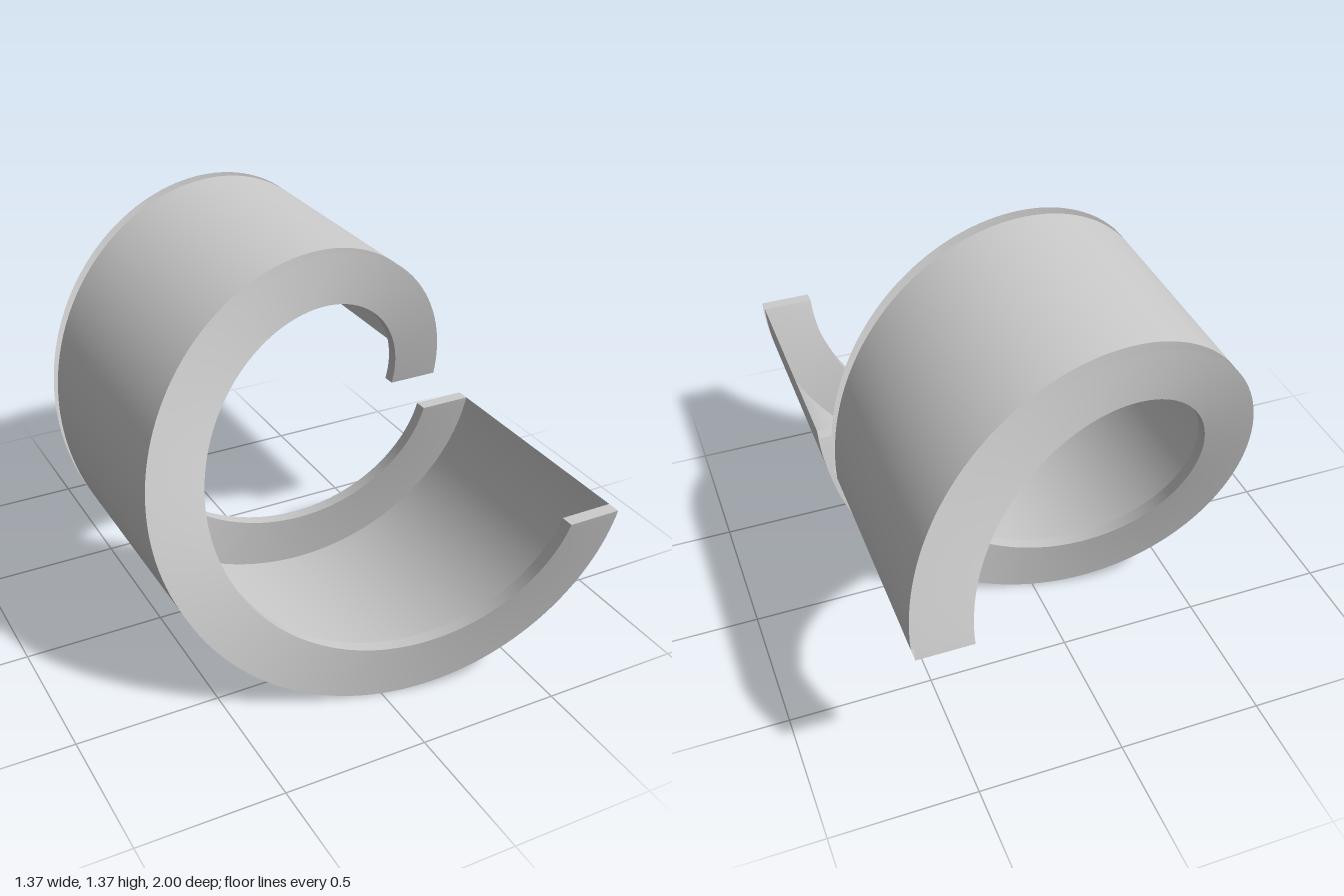
import * as THREE from 'three';
import { mergeGeometries } from 'three/addons/utils/BufferGeometryUtils.js';

const R_OUT = 0.683, R_IN = 0.5;   // outer and inner radius
const PITCH = 1.09;                // travel along z in the single turn
const WIDTH = 0.91, LIP = 0.045;   // channel width and flange thickness
const STEPS = 144;

// Point of the helix: starts at +x, runs down and around towards -z
function helix(r, z, t) {
  const a = t * Math.PI * 2;
  return [r * Math.cos(a), -r * Math.sin(a), z - PITCH * t];
}

// Sweep one straight edge of the section, [r, z] to [r, z], through the turn
function ribbon(from, to) {
  const pos = [], index = [];
  for (let i = 0; i <= STEPS; i++) {
    pos.push(...helix(...from, i / STEPS), ...helix(...to, i / STEPS));
    if (i < STEPS) {
      const a = i * 2;
      index.push(a, a + 1, a + 2, a + 1, a + 3, a + 2);
    }
  }
  const geo = new THREE.BufferGeometry();
  geo.setAttribute('position', new THREE.Float32BufferAttribute(pos, 3));
  geo.setIndex(index);
  geo.computeVertexNormals();
  return geo;
}

// Flat cap closing a flange at the start (facing up) or the end (facing down)
function cap(z, side) {
  const geo = new THREE.PlaneGeometry(R_OUT - R_IN, LIP);
  geo.rotateX(-side * Math.PI / 2);
  geo.translate((R_OUT + R_IN) / 2, 0, z);
  geo.deleteAttribute('uv');
  return geo;
}

// Helical flange: two side faces and the inner rim, open along the outer rim
function flange(zBack) {
  const zFront = zBack + LIP, zMid = zBack + LIP / 2;
  return mergeGeometries([
    ribbon([R_IN, zBack], [R_OUT, zBack]),
    ribbon([R_OUT, zFront], [R_IN, zFront]),
    ribbon([R_IN, zFront], [R_IN, zBack]),
    cap(zMid, 1),
    cap(zMid - PITCH, -1),
  ]);
}

export function createModel() {
  const group = new THREE.Group();
  group.name = 'helicalChannel';
  const material = new THREE.MeshStandardMaterial({ color: 0xcccccc, side: THREE.DoubleSide });
  const add = (name, geo) => {
    const mesh = new THREE.Mesh(geo, material);
    mesh.name = name;
    mesh.position.y = R_OUT;
    group.add(mesh);
  };

  const front = 1, back = front - WIDTH;
  add('frontFlange', flange(front - LIP));
  add('backFlange', flange(back));
  // Thin outer wall joining the inner faces of the flanges
  add('outerWall', ribbon([R_OUT, back + LIP], [R_OUT, front - LIP]));
  return group;
}
